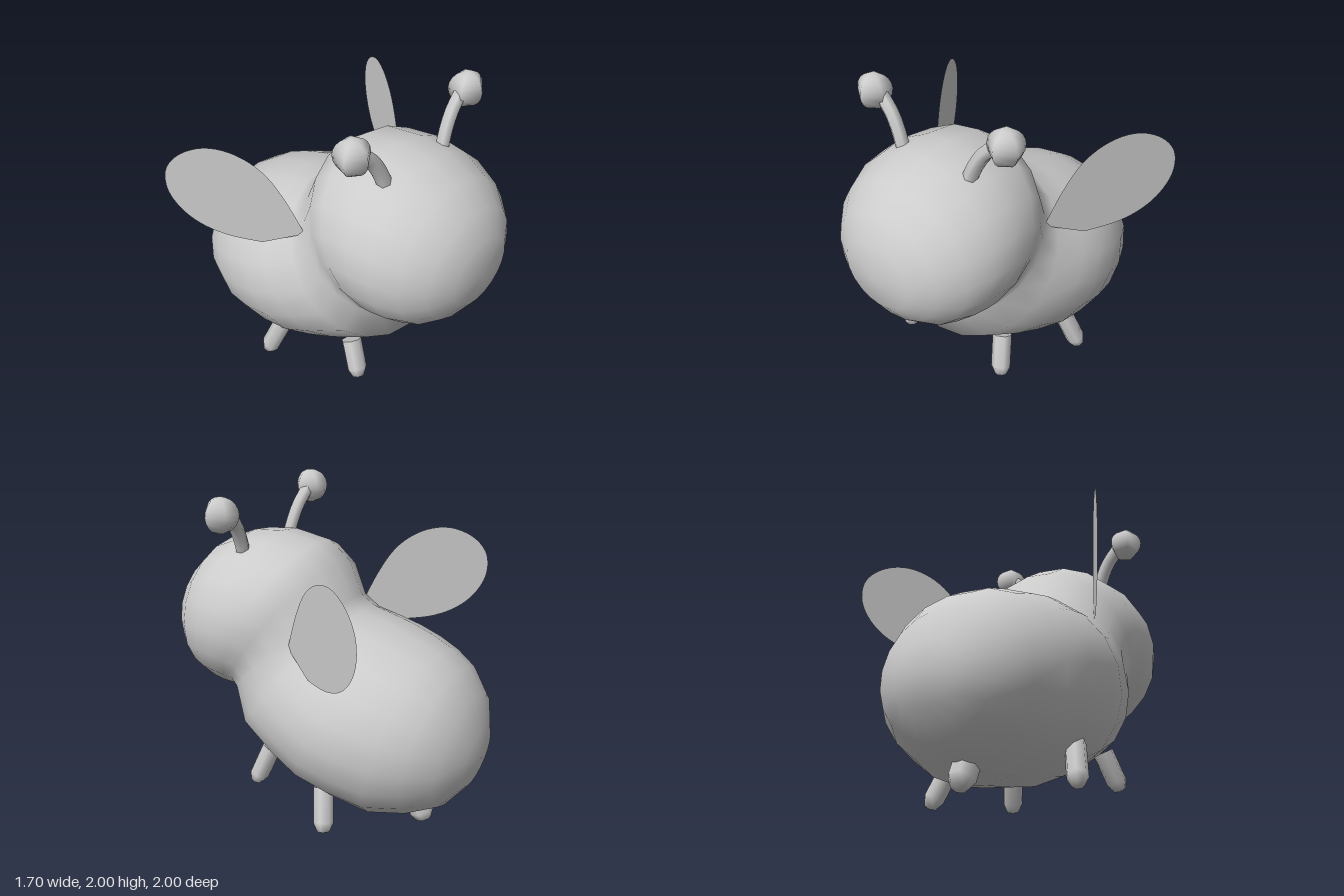
import * as THREE from 'three';
import { mergeVertices } from 'three/addons/utils/BufferGeometryUtils.js';

const grey = new THREE.MeshStandardMaterial({ color: 0xcccccc });
grey.name = 'light grey';
grey.side = THREE.DoubleSide;

function add(group, name, geometry) {
  const mesh = new THREE.Mesh(geometry, grey);
  mesh.name = name;
  group.add(mesh);
  return mesh;
}

// Head and abdomen in one skin: tilted rings [top z, top y, bottom z, bottom y, half width]
const RINGS = [
  [1.0, 1.15, 1.0, 1.15, 0],
  [0.97, 1.36, 0.97, 0.95, 0.23],
  [0.89, 1.5, 0.89, 0.83, 0.37],
  [0.76, 1.62, 0.79, 0.75, 0.48],
  [0.57, 1.7, 0.7, 0.72, 0.545],
  [0.37, 1.72, 0.64, 0.71, 0.565],
  [0.12, 1.68, 0.61, 0.71, 0.565],
  [-0.03, 1.57, 0.6, 0.71, 0.53],
  [-0.12, 1.37, 0.59, 0.69, 0.51],
  [-0.2, 1.31, 0.51, 0.45, 0.56],
  [-0.33, 1.27, 0.25, 0.3, 0.625],
  [-0.45, 1.235, 0.05, 0.2, 0.655],
  [-0.58, 1.19, -0.18, 0.14, 0.645],
  [-0.7, 1.14, -0.42, 0.09, 0.6],
  [-0.82, 1.06, -0.65, 0.14, 0.52],
  [-0.93, 0.92, -0.83, 0.22, 0.39],
  [-0.99, 0.72, -0.95, 0.37, 0.21],
  [-1.0, 0.55, -1.0, 0.55, 0],
];

function bodyGeometry(sides = 20) {
  const pos = [], index = [];
  RINGS.forEach(([tz, ty, bz, by, w], i) => {
    for (let j = 0; j < sides; j++) {
      const a = (j / sides) * Math.PI * 2, c = Math.cos(a) / 2;
      pos.push(w * Math.sin(a), (ty + by) / 2 + c * (ty - by), (tz + bz) / 2 + c * (tz - bz));
      if (i === RINGS.length - 1) continue;
      const k = (j + 1) % sides, p = i * sides, q = p + sides;
      if (i < RINGS.length - 2) index.push(p + k, q + k, q + j);
      if (i > 0) index.push(p + j, p + k, q + j);
      if (i === RINGS.length - 2) index.pop(), index.push(q + j);
    }
  });
  const g = new THREE.BufferGeometry();
  g.setAttribute('position', new THREE.Float32BufferAttribute(pos, 3));
  g.setIndex(index);
  const merged = mergeVertices(g);
  merged.computeVertexNormals();
  return merged;
}

// Flat wing drawn in (z, y), then swept outwards towards the back
function wingGeometry(side) {
  const outline = [
    [-0.04, 1.39], [-0.14, 1.56], [-0.27, 1.66], [-0.41, 1.685], [-0.54, 1.63],
    [-0.625, 1.52], [-0.635, 1.38], [-0.58, 1.25], [-0.48, 1.15], [-0.34, 1.09], [-0.17, 1.07],
  ].map(([z, y]) => new THREE.Vector2(z, y));
  const shape = new THREE.Shape();
  shape.moveTo(0.05, 1.17);
  shape.splineThru(outline);
  shape.lineTo(0.05, 1.17);
  const g = new THREE.ShapeGeometry(shape, 4);
  const p = g.attributes.position;
  for (let i = 0; i < p.count; i++) {
    const z = p.getX(i);
    p.setXYZ(i, side * (0.43 + (0.05 - z) * 0.61), p.getY(i), z);
  }
  g.computeVertexNormals();
  return g;
}

// Stubby leg: flat top at a, rounded tip at b
function leg(group, name, a, b, r) {
  const top = new THREE.Vector3(...a), tip = new THREE.Vector3(...b);
  const h = top.distanceTo(tip);
  const profile = [[0, 0], [r * 0.6, 0.01], [r, 0.065], [r, h], [r, h], [0, h]]
    .map(([x, y]) => new THREE.Vector2(x, y));
  const mesh = add(group, name, new THREE.LatheGeometry(profile, 7));
  mesh.position.copy(tip);
  mesh.quaternion.setFromUnitVectors(new THREE.Vector3(0, 1, 0), top.sub(tip).normalize());
}

export function createModel() {
  const model = new THREE.Group();
  model.name = 'bee';
  add(model, 'body', bodyGeometry());

  for (const side of [1, -1]) {
    const label = side > 0 ? 'left' : 'right';
    add(model, label + 'Wing', wingGeometry(side));

    // Bent feeler with a ball on its end
    const path = new THREE.CatmullRomCurve3(
      [[0.24, 1.62, 0.48], [0.28, 1.72, 0.47], [0.335, 1.81, 0.46], [0.42, 1.89, 0.45]]
        .map(([x, y, z]) => new THREE.Vector3(side * x, y, z)));
    add(model, label + 'Antenna', new THREE.TubeGeometry(path, 6, 0.043, 6));
    const ball = add(model, label + 'AntennaBall',
      new THREE.SphereGeometry(0.105, 5, 10).rotateY(Math.PI / 2));
    ball.position.set(side * 0.47, 1.9, 0.455);
  }

  // Two front legs, two middle legs and one at the rear
  leg(model, 'frontLeftLeg', [0.31, 0.41, 0.27], [0.37, 0.16, 0.36], 0.062);
  leg(model, 'frontRightLeg', [-0.32, 0.42, 0.31], [-0.37, 0.2, 0.42], 0.062);
  leg(model, 'middleLeftLeg', [0.44, 0.33, -0.19], [0.54, 0.08, -0.25], 0.062);
  leg(model, 'middleRightLeg', [-0.42, 0.31, -0.19], [-0.49, 0.04, -0.29], 0.062);
  leg(model, 'rearLeg', [0, 0.24, -0.57], [0, 0.01, -0.66], 0.078);
  return model;
}
